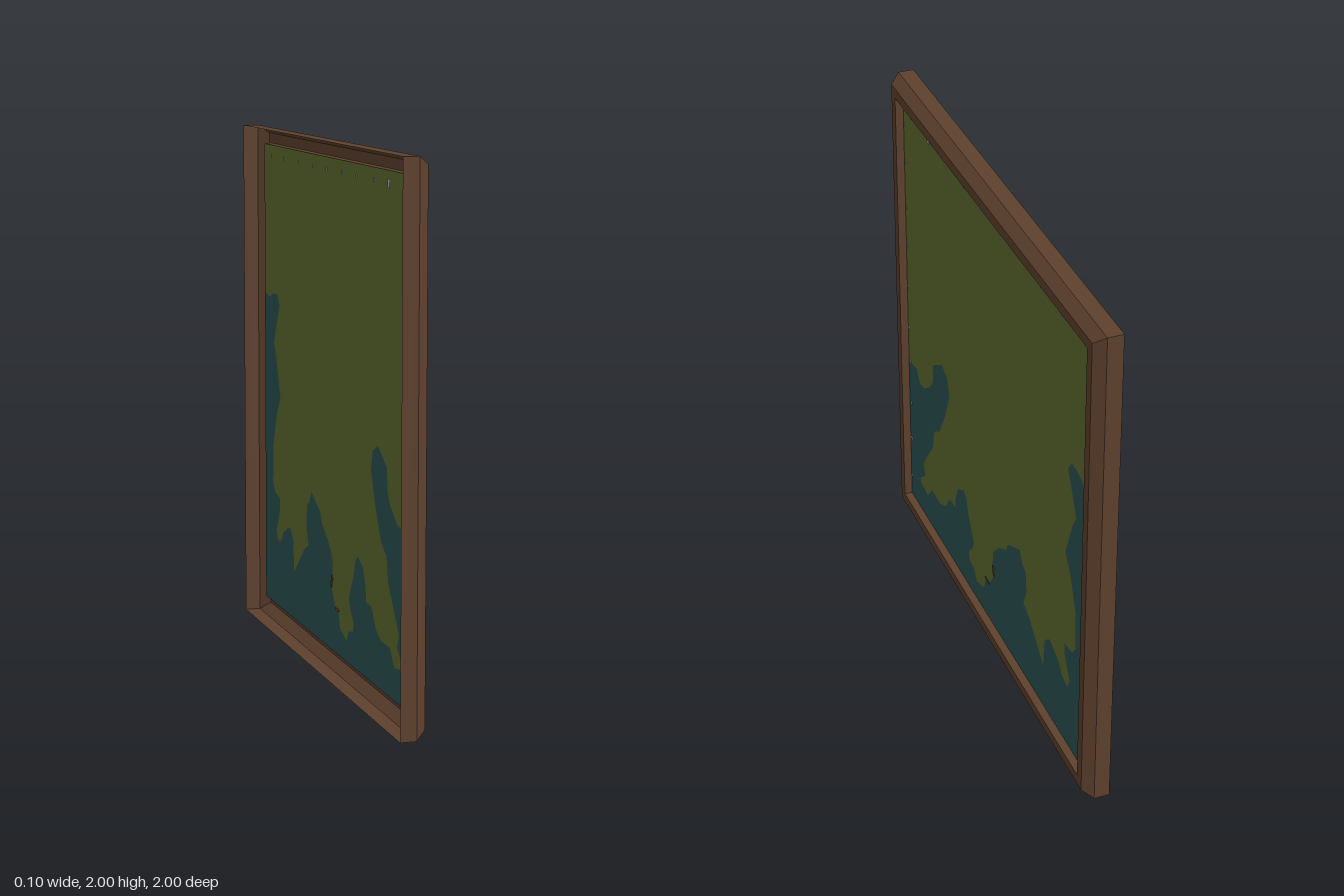
import * as THREE from 'three';

const mat = (name, color) => new THREE.MeshStandardMaterial({ name, color, side: THREE.DoubleSide });

// Coastline from the left edge to the right edge, in hundredths: across, up
const COAST = [
  -93, 73, -84, 75, -80, 70, -75, 71, -68, 76, -65, 80, -64, 89, -59, 92, -54, 95, -48, 92,
  -46, 85, -51, 73, -58, 61, -64, 57, -66, 48, -72, 40, -78, 32, -76, 27, -82, 22, -81, 20,
  -73, 19, -68, 25, -58, 25, -52, 28, -47, 35, -41, 35, -40, 41, -37, 47, -31, 50, -28, 48,
  -26, 42, -20, 32, -22, 28, -26, 24, -25, 20, -20, 19.5, -17, 15, -9, 18, -7, 24, -3.5, 24,
  2, 32, 0, 36, 1, 43, 7, 49, 14, 53, 16, 57, 28, 63, 31, 58, 34, 57, 35, 48,
  32, 41, 38, 38, 52, 26, 53, 39, 58, 43, 67, 39, 70, 35, 75, 34, 77, 38, 72, 47,
  72, 52, 79, 53, 82, 57, 81, 73, 76, 86, 71, 93, 77, 109, 80, 114, 74, 126, 72, 130,
  75, 134, 80, 134, 86, 132, 93, 133,
];
const HALF = 0.93;    // half the width of the map
const MAP_X = 0.018;  // depth at which the map sits in the frame

export function createModel() {
  const group = new THREE.Group();
  const wood = mat('frameBrown', 0x5e412e);
  const green = mat('landGreen', 0x5e6b2f);
  const blue = mat('waterBlue', 0x2c5354);
  const pale = mat('paleMarks', 0xb4b8a8);
  const rust = mat('rustMarks', 0x7a4426);

  const add = (name, geometry, material) => {
    const mesh = new THREE.Mesh(geometry, material);
    mesh.name = name;
    group.add(mesh);
    return mesh;
  };

  // Frame: open-backed moulding, a four-sided lathe of (half size, depth)
  const profile = [[1, -0.05], [1, 0.01], [0.97, 0.05], [HALF, 0.05], [HALF, MAP_X]]
    .map(([half, depth]) => new THREE.Vector2(half * Math.SQRT2, depth));
  const moulding = new THREE.LatheGeometry(profile, 4).toNonIndexed();
  moulding.rotateY(Math.PI / 4).rotateZ(-Math.PI / 2).translate(0, 1, 0);
  moulding.computeVertexNormals();
  add('frame', moulding, wood);

  // Flat map areas, drawn upright and turned to face +x
  const flat = (name, points, material) =>
    add(name, new THREE.ShapeGeometry(new THREE.Shape(points)).rotateY(Math.PI / 2).translate(MAP_X, 0, 0), material);
  const p = (u, v) => new THREE.Vector2(u, v);
  const coast = [];
  for (let i = 0; i < COAST.length; i += 2) coast.push(p(COAST[i] / 100, COAST[i + 1] / 100));
  flat('water', [p(-HALF, 0.07), p(HALF, 0.07), ...coast.slice().reverse()], blue);
  flat('land', [...coast, p(HALF, 1.93), p(-HALF, 1.93)], green);

  // Small marks that show on both sides of the map
  const mark = (name, u, v, w, h, material) => {
    const mesh = add(name, new THREE.BoxGeometry(0.004, h, w), material);
    mesh.position.set(MAP_X, v, -u);
    return mesh;
  };
  [-0.84, -0.655, -0.485, -0.285, -0.11, 0.08, 0.255, 0.46, 0.645, 0.84].forEach((u, i) =>
    mark('topMark', u, 1.885, i === 1 ? 0.022 : 0.009, i === 1 ? 0.03 : 0.014, pale));
  [1.82, 1.66, 1.457, 1.28, 1.094, 0.9, 0.74, 0.537, 0.36, 0.17].forEach((v) =>
    mark('sideMark', -0.913, v, 0.014, 0.012, pale));

  // Rust-coloured slivers on the coast
  mark('coastMark', -0.055, 0.242, 0.045, 0.01, rust);
  mark('coastMark', 0.012, 0.335, 0.016, 0.045, rust).rotation.x = 0.3;

  return group;
}
